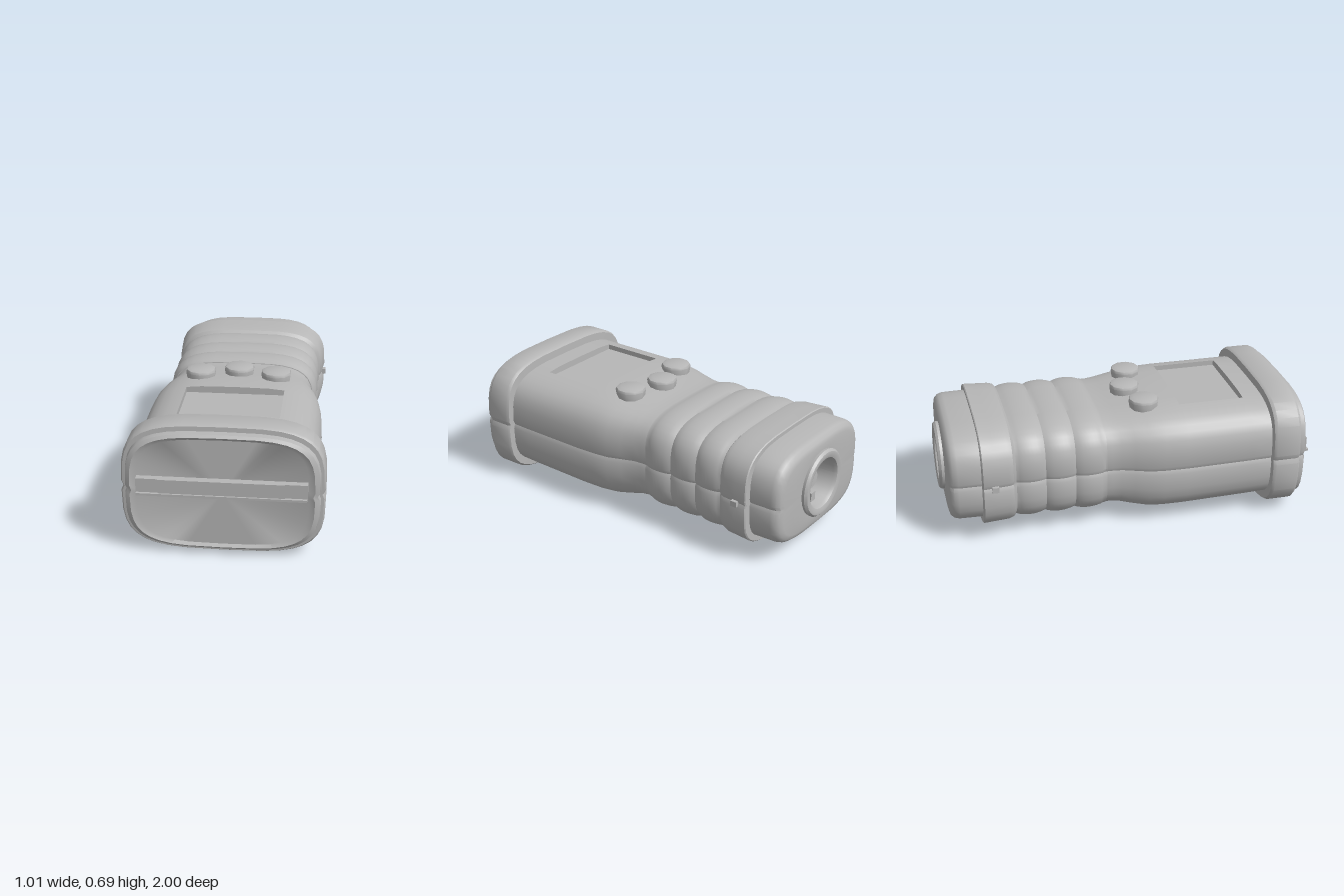
import * as THREE from 'three';
import { toCreasedNormals } from 'three/addons/utils/BufferGeometryUtils.js';

const grey = new THREE.MeshStandardMaterial({ color: 0xb6b6b6 });
grey.name = 'casing grey';
grey.side = THREE.DoubleSide;

// Section angles: every 10 degrees, with a tight trio at each side for the seam
const angles = [];
for (let a = 0; a < 360; a += 10) {
  if (a === 180) angles.push(179.5);
  angles.push(a);
  if (a % 180 === 0) angles.push(a + 0.5);
}
angles.push(359.5);
const count = angles.length;

// Rounded-rectangle section from [z, half width, bottom, top, squareness]
function section([z, w, bottom, top, n = 3.7]) {
  const mid = (bottom + top) / 2, h = (top - bottom) / 2;
  const bend = (v) => Math.sign(v) * Math.abs(v) ** (2 / n);
  return angles.map((deg) => {
    const a = THREE.MathUtils.degToRad(deg);
    const seam = deg % 180 === 0 && n > 3 ? 0.98 : 1;
    return [w * bend(Math.cos(a)) * seam, mid + h * bend(Math.sin(a)), z];
  });
}

function surface(quads, crease = 0.6) {
  const pos = [];
  for (const [a, b, c, d] of quads) pos.push(...a, ...d, ...b, ...b, ...d, ...c);
  const g = new THREE.BufferGeometry();
  g.setAttribute('position', new THREE.Float32BufferAttribute(pos, 3));
  return toCreasedNormals(g, crease);
}

// Skin the sections from front to back, optionally leaving quads out
function loft(rows, skip = () => false) {
  const s = rows.map(section), quads = [];
  for (let i = 0; i < s.length - 1; i++)
    for (let j = 0; j < count; j++) {
      const k = (j + 1) % count;
      if (!skip(i, j)) quads.push([s[i][j], s[i][k], s[i + 1][k], s[i + 1][j]]);
    }
  return surface(quads);
}

export function createModel() {
  const group = new THREE.Group();
  const add = (name, geometry, x = 0, y = 0, z = 0) => {
    const mesh = new THREE.Mesh(geometry, grey);
    mesh.name = name;
    mesh.position.set(x, y, z);
    group.add(mesh);
    return mesh;
  };

  // Front end cap and the wide bumper collar
  add('frontBumper', loft([
    [0.95, 0, 0.345, 0.345], [0.95, 0.425, 0.065, 0.63], [0.962, 0.455, 0.05, 0.645],
    [0.95, 0.478, 0.038, 0.658], [0.92, 0.483, 0.033, 0.662], [0.918, 0.498, 0.012, 0.685],
    [0.905, 0.506, 0.004, 0.692], [0.785, 0.506, 0.004, 0.692], [0.77, 0.498, 0.014, 0.683],
    [0.768, 0.455, 0.06, 0.63],
  ]));

  // Main housing, with an opening for the screen in the top
  const housing = [
    [0.78, 0.465, 0.055, 0.64], [0.66, 0.465, 0.05, 0.64], [0.3, 0.465, 0.042, 0.64],
    [0.18, 0.457, 0.04, 0.638], [0.1, 0.445, 0.045, 0.63], [0.02, 0.42, 0.058, 0.622],
    [-0.05, 0.402, 0.075, 0.613], [-0.1, 0.397, 0.08, 0.608], [-0.16, 0.395, 0.08, 0.608],
  ];
  const first = angles.indexOf(70), last = angles.indexOf(110);
  add('housing', loft(housing, (i, j) => i === 1 && j >= first && j < last));

  // Recessed screen: walls drop from the opening to a flat floor
  const near = section(housing[1]).slice(first, last + 1);
  const far = section(housing[2]).slice(first, last + 1).reverse();
  const rim = [...near, ...far];
  const drop = ([x, , z]) => [x, 0.6, z];
  add('screenWalls', surface(rim.map((p, i) => {
    const q = rim[(i + 1) % rim.length];
    return [p, q, drop(q), drop(p)];
  })));
  add('screen', new THREE.PlaneGeometry(0.52, 0.36).rotateX(-Math.PI / 2), 0, 0.602, 0.48);

  // Ribbed grip
  const grip = [[-0.125, 0.36, 0.11, 0.575], [-0.13, 0.4, 0.077, 0.612]];
  for (let i = 0; i <= 24; i++) {
    const t = i / 24, wave = Math.abs(Math.sin(t * Math.PI * 3)) ** 0.7;
    grip.push([-0.14 - t * 0.48, 0.4 + 0.019 * wave, 0.078 - 0.011 * wave, 0.612 + 0.012 * wave]);
  }
  grip.push([-0.63, 0.4, 0.08, 0.61]);
  add('ribbedGrip', loft(grip));

  // Raised band behind the grip
  add('rearBand', loft([
    [-0.61, 0.39, 0.09, 0.6], [-0.635, 0.425, 0.068, 0.627], [-0.66, 0.434, 0.062, 0.632],
    [-0.73, 0.44, 0.06, 0.634], [-0.795, 0.446, 0.058, 0.636], [-0.8, 0.44, 0.062, 0.632],
    [-0.8, 0.37, 0.11, 0.58],
  ]));
  for (const side of [-1, 1])
    add('sideNub', new THREE.BoxGeometry(0.025, 0.03, 0.035), side * 0.443, 0.345, -0.735);

  // Rear cap, closing onto a round hollow socket
  add('rearCap', loft([
    [-0.79, 0.404, 0.085, 0.612], [-0.92, 0.402, 0.088, 0.61], [-0.945, 0.395, 0.094, 0.603],
    [-0.963, 0.378, 0.108, 0.588], [-0.97, 0.35, 0.13, 0.565], [-0.97, 0.18, 0.17, 0.53, 2],
  ]));
  add('socket', loft([
    [-0.96, 0.182, 0.168, 0.532, 2], [-0.985, 0.186, 0.164, 0.536, 2],
    [-0.998, 0.175, 0.175, 0.525, 2], [-1.0, 0.16, 0.19, 0.51, 2],
    [-0.993, 0.14, 0.21, 0.49, 2], [-0.975, 0.13, 0.22, 0.48, 2],
    [-0.85, 0.125, 0.225, 0.475, 2], [-0.85, 0, 0.35, 0.35, 2],
  ]));
  add('socketPin', new THREE.CylinderGeometry(0.045, 0.05, 0.08, 12).rotateX(Math.PI / 2), 0, 0.35, -0.885);
  add('socketKey', new THREE.BoxGeometry(0.04, 0.05, 0.09), 0, 0.25, -0.89);

  // Ledge across the front face
  add('frontLedge', new THREE.BoxGeometry(0.84, 0.085, 0.04), 0, 0.383, 0.965);
  add('frontLip', new THREE.BoxGeometry(0.835, 0.012, 0.05), 0, 0.347, 0.975);
  add('frontTongue', new THREE.BoxGeometry(0.62, 0.085, 0.03), 0, 0.383, 0.976);

  // Three domed buttons
  const profile = [[0.074, 0], [0.083, 0.06], [0.078, 0.072], [0.055, 0.08], [0, 0.08]]
    .map(([x, y]) => new THREE.Vector2(x, y));
  for (const [x, z] of [[-0.205, 0.115], [0, 0.058], [0.205, 0.115]])
    add('button', toCreasedNormals(new THREE.LatheGeometry(profile, 10), 0.7), x, 0.595, z);

  return group;
}
